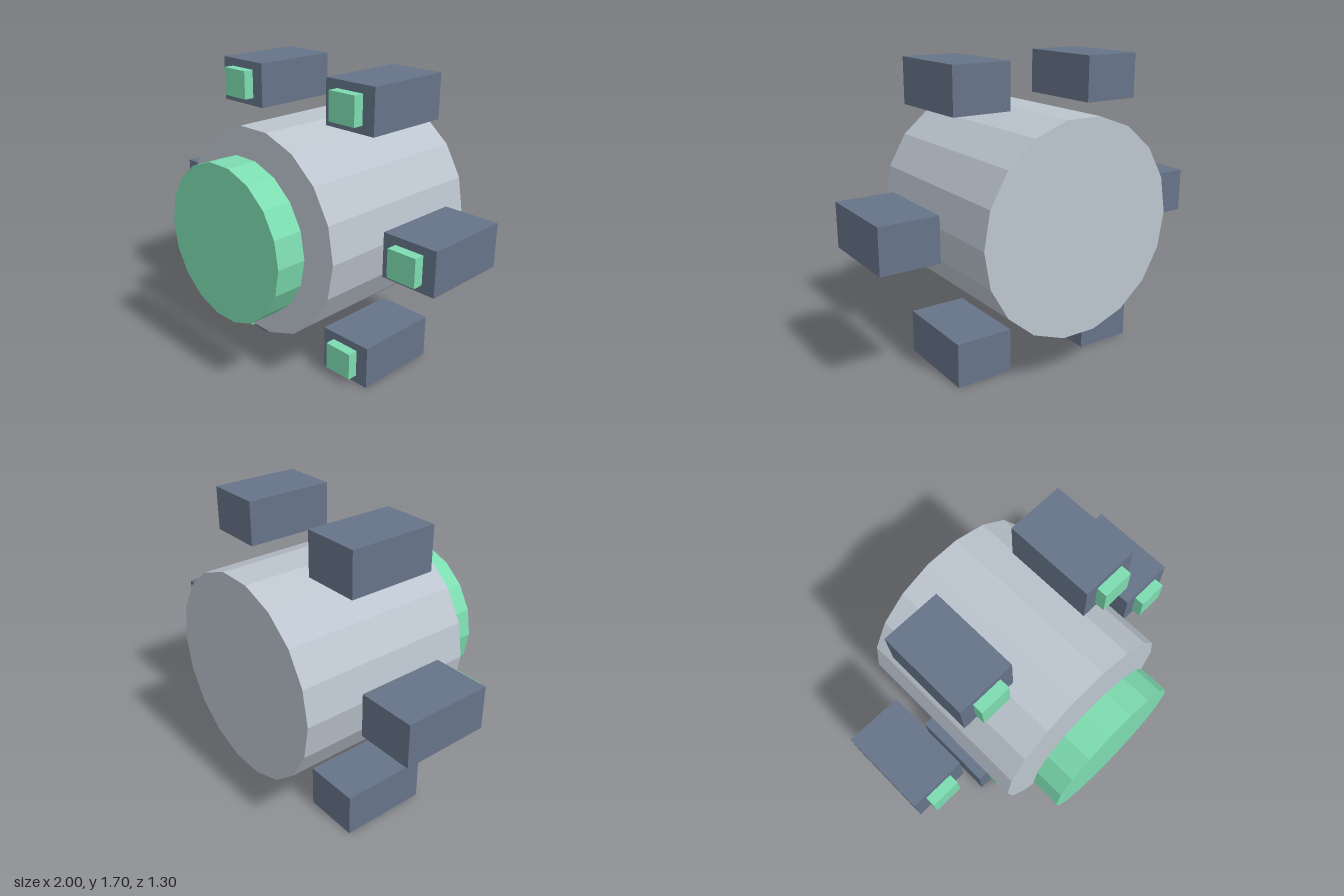
import * as THREE from 'three';

const CENTER_Y = 0.85;
const SIDES = 18;

const paint = (color) => new THREE.MeshStandardMaterial({ color, flatShading: true });

// Faceted cylinder lying along z, with a corner pointing to +x
function drum(name, radius, zBack, zFront, material) {
  const geometry = new THREE.CylinderGeometry(
    radius, radius, zFront - zBack, SIDES, 1, false, Math.PI / 2);
  geometry.rotateX(Math.PI / 2);
  const mesh = new THREE.Mesh(geometry, material);
  mesh.name = name;
  mesh.position.set(0, CENTER_Y, (zBack + zFront) / 2);
  return mesh;
}

// Box given by its width, height and z range
function block(name, width, height, zBack, zFront, material) {
  const mesh = new THREE.Mesh(new THREE.BoxGeometry(width, height, zFront - zBack), material);
  mesh.name = name;
  mesh.position.z = (zBack + zFront) / 2;
  return mesh;
}

export function createModel() {
  const model = new THREE.Group();
  model.name = 'drumWithPods';

  const shell = paint(0xbcc5cf);
  const slate = paint(0x667489);
  const green = paint(0x7ddcb0);

  // Main body and the floating disc in front of it
  model.add(drum('body', 0.588, -0.65, 0.42, shell));
  model.add(drum('frontDisc', 0.442, 0.475, 0.65, green));

  // Ring of six upright pods, each with a light on its front
  const ringRadius = 0.835;
  for (let i = 0; i < 6; i++) {
    const angle = (i * Math.PI) / 3;
    const pod = new THREE.Group();
    pod.name = `pod${i + 1}`;
    pod.position.set(ringRadius * Math.cos(angle), CENTER_Y + ringRadius * Math.sin(angle), 0);
    pod.add(block('podCasing', 0.33, 0.25, -0.375, 0.14, slate));
    pod.add(block('podLight', 0.176, 0.16, 0.12, 0.2, green));
    model.add(pod);
  }

  return model;
}
